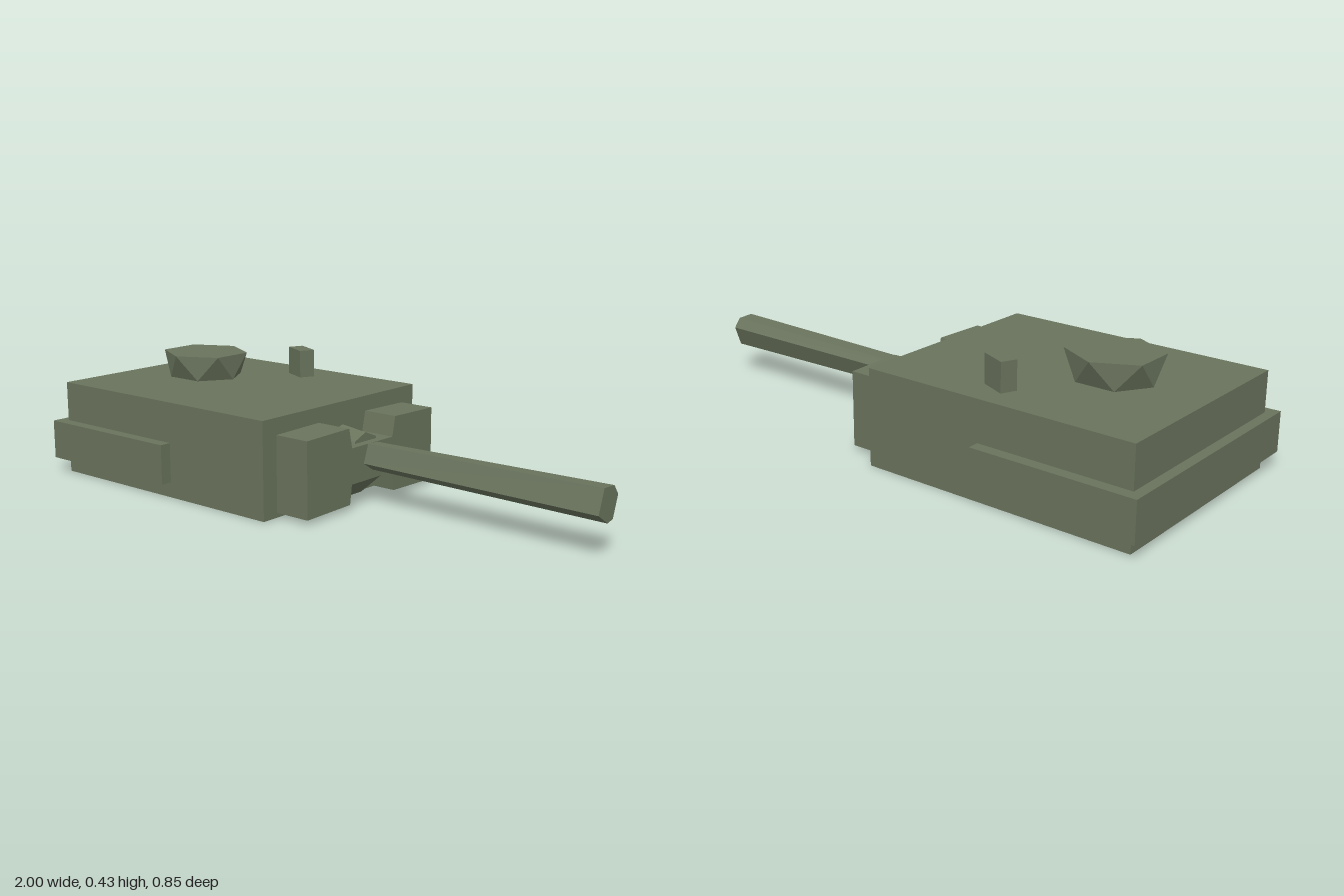
import * as THREE from 'three';

export function createModel() {
  const group = new THREE.Group();
  const material = new THREE.MeshStandardMaterial({ color: 0x69735c, flatShading: true });

  function add(name, geometry, x = 0, y = 0, z = 0) {
    const mesh = new THREE.Mesh(geometry, material);
    mesh.name = name;
    mesh.position.set(x, y, z);
    group.add(mesh);
    return mesh;
  }

  // Flat outline extruded straight
  function extrude(points, depth) {
    const shape = new THREE.Shape(points.map(([a, b]) => new THREE.Vector2(a, b)));
    return new THREE.ExtrudeGeometry(shape, { depth, bevelEnabled: false });
  }

  // Main body and the stowage belt wrapped round its rear
  add('turretBody', new THREE.BoxGeometry(0.965, 0.328, 0.77), -0.4825, 0.166, 0);
  add('rearBelt', new THREE.BoxGeometry(0.57, 0.136, 0.85), -0.715, 0.123, 0);

  // H-shaped front plate: two cheek blocks joined by a low bar
  const half = [[0.105, 0.21], [0.12, 0.278], [0.323, 0.274], [0.323, 0.018], [0.115, 0.022], [0.105, 0.094]];
  const outline = [...half, ...half.map(([a, b]) => [-a, b]).reverse()];
  add('frontPlate', extrude(outline, 0.13).rotateY(Math.PI / 2));

  // Gun mount: octagonal drum with a sloping chin beneath
  const drum = new THREE.CylinderGeometry(0.075, 0.087, 0.1, 8).rotateZ(-Math.PI / 2);
  add('gunDrum', drum, 0.05, 0.165, 0);
  const chin = extrude([[-0.02, 0.003], [0.015, 0.003], [0.1, 0.075], [0.1, 0.1], [-0.02, 0.1]], 0.164);
  add('gunChin', chin.translate(0, 0, -0.082));

  // Irregular six-sided barrel, thinner at its root
  const section = [[-0.028, 0.055], [-0.055, -0.022], [0, -0.057], [0.03, -0.05], [0.055, 0.02], [0.03, 0.052]];
  const barrel = extrude(section, 0.9).rotateY(Math.PI / 2);
  const pos = barrel.attributes.position;
  for (let i = 0; i < pos.count; i++) {
    const scale = 0.82 + 0.18 * pos.getX(i) / 0.9;
    pos.setXYZ(i, pos.getX(i), pos.getY(i) * scale, pos.getZ(i) * scale);
  }
  barrel.computeVertexNormals();
  add('barrel', barrel, 0.1, 0.165, 0);

  // Hatch: two hexagons turned half a step, joined by a zigzag of triangles
  const rim = (i, radius, y, turn) => {
    const a = (i + turn) * Math.PI / 3;
    return [Math.sin(a) * radius * 1.1, y, Math.cos(a) * radius];
  };
  const top = i => rim(i, 0.145, 0.427, 0);
  const base = i => rim(i, 0.125, 0.34, 0.5);
  const faces = [];
  for (let i = 0; i < 6; i++) {
    faces.push(...top(i), ...base(i), ...top(i + 1));
    faces.push(...base(i), ...base(i + 1), ...top(i + 1));
    faces.push(0, 0.427, 0, ...top(i), ...top(i + 1));
    faces.push(0, 0.34, 0, ...base(i + 1), ...base(i));
  }
  const hatch = new THREE.BufferGeometry();
  hatch.setAttribute('position', new THREE.Float32BufferAttribute(faces, 3));
  hatch.computeVertexNormals();
  add('hatch', hatch, -0.65, 0, 0);

  // Small angled sight block on the roof
  add('sight', new THREE.BoxGeometry(0.1, 0.104, 0.055), -0.42, 0.376, -0.263).rotation.y = -0.41;

  return group;
}
